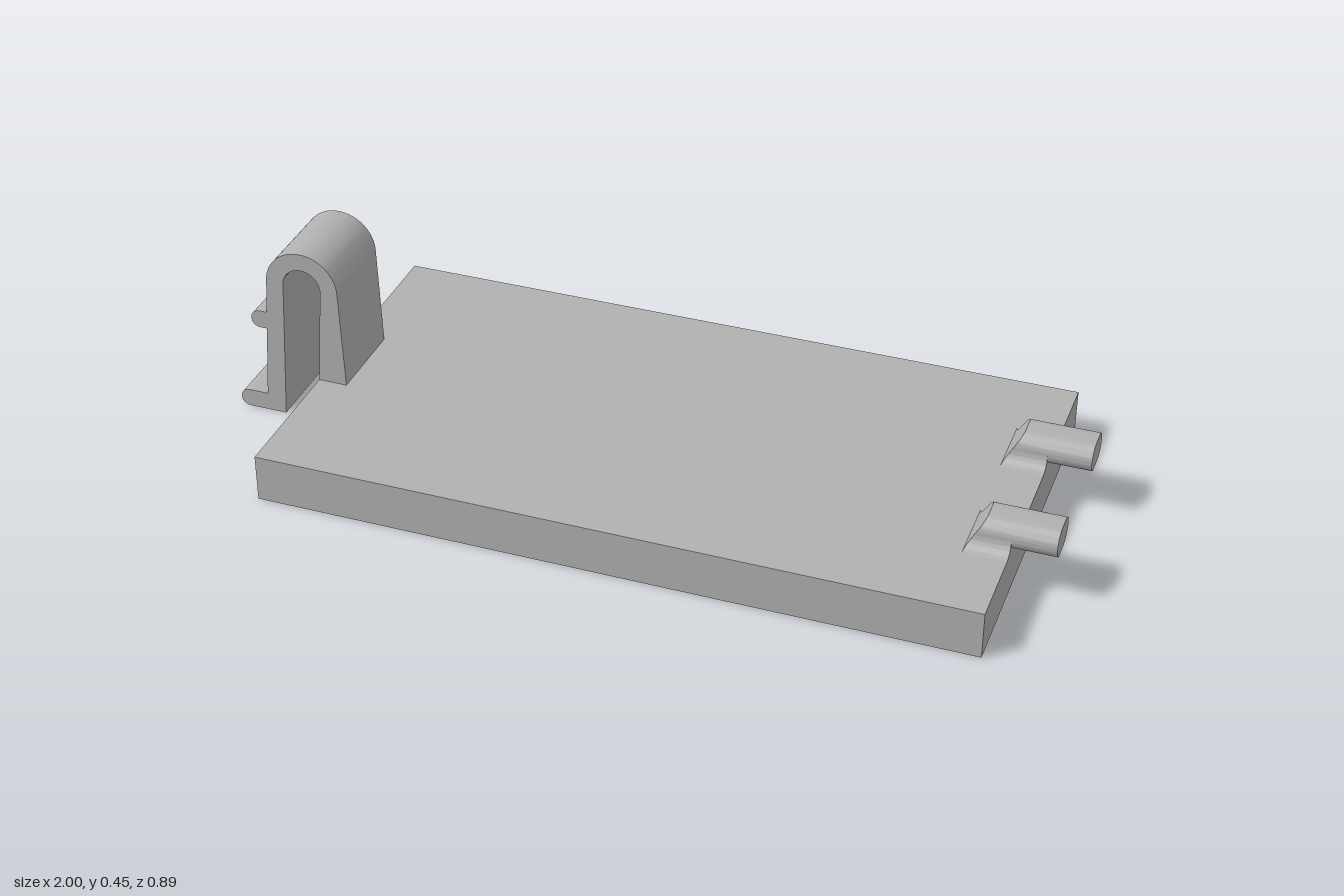
import * as THREE from 'three';
import { toCreasedNormals } from 'three/addons/utils/BufferGeometryUtils.js';

const TOP = 0.115; // plate thickness
const EDGE = 0.9; // plate end carrying the pegs

const extrude = (shape, depth) =>
  new THREE.ExtrudeGeometry(shape, { depth, bevelEnabled: false, curveSegments: 16 });

function addMesh(parent, name, geometry, material) {
  const mesh = new THREE.Mesh(toCreasedNormals(geometry, 0.6), material);
  mesh.name = name;
  parent.add(mesh);
  return mesh;
}

// Bent spring clip with a catch bump and a finger foot
function clipShape() {
  const s = new THREE.Shape();
  const q = Math.PI / 2;
  s.moveTo(-0.72, TOP);
  s.lineTo(-0.728, 0.36);
  s.absarc(-0.818, 0.36, 0.09, 0, Math.PI, false);
  s.lineTo(-0.914, 0.275);
  s.absarc(-0.933, 0.2525, 0.0225, q, 3 * q, false);
  s.lineTo(-0.917, 0.23);
  s.lineTo(-0.93, 0.045);
  s.absarc(-0.978, 0.0225, 0.0225, q, 3 * q, false);
  s.lineTo(-0.885, 0);
  s.absarc(-0.818, 0.36, 0.047, Math.PI, 0, true);
  s.lineTo(-0.79, TOP);
  s.closePath();
  return s;
}

// Rounded peg section
function pegShape() {
  const s = new THREE.Shape();
  const r = 0.034, c = 0.018, q = Math.PI / 2;
  s.absarc(c, r, r, -q, q, false);
  s.absarc(-c, r, r, q, 3 * q, false);
  s.closePath();
  return s;
}

// Same section, flared onto the plate with concave fillets
function rootShape() {
  const s = new THREE.Shape();
  const r = 0.034, c = 0.018, q = Math.PI / 2;
  s.moveTo(c + 2 * r, 0);
  s.absarc(c + 2 * r, r, r, -q, -2 * q, true);
  s.absarc(c, r, r, 0, q, false);
  s.absarc(-c, r, r, q, 2 * q, false);
  s.absarc(-c - 2 * r, r, r, 0, -q, true);
  s.closePath();
  return s;
}

export function createModel() {
  const model = new THREE.Group();
  model.name = 'batteryCover';
  const grey = new THREE.MeshStandardMaterial({ color: 0xb0b0b0 });
  grey.name = 'grey plastic';

  const plate = addMesh(model, 'plate', new THREE.BoxGeometry(1.69, TOP, 0.89), grey);
  plate.position.set(0.055, TOP / 2, 0);

  const clip = addMesh(model, 'springClip', extrude(clipShape(), 0.214), grey);
  clip.position.z = -0.107;

  // Peg roots slope back at their inner end
  const root = extrude(rootShape(), 0.1).rotateY(Math.PI / 2);
  const p = root.attributes.position;
  for (let i = 0; i < p.count; i++) {
    if (p.getX(i) < 0.05) p.setX(i, p.getY(i) * 0.58);
  }
  root.computeVertexNormals();
  const peg = extrude(pegShape(), 0.1).rotateY(Math.PI / 2);

  for (const side of [-1, 1]) {
    const group = new THREE.Group();
    group.name = side > 0 ? 'frontPeg' : 'backPeg';
    group.position.set(EDGE, TOP, side * 0.17);
    addMesh(group, 'pegRoot', root, grey).position.x = -0.1;
    addMesh(group, 'pegTip', peg, grey);
    model.add(group);
  }
  return model;
}
